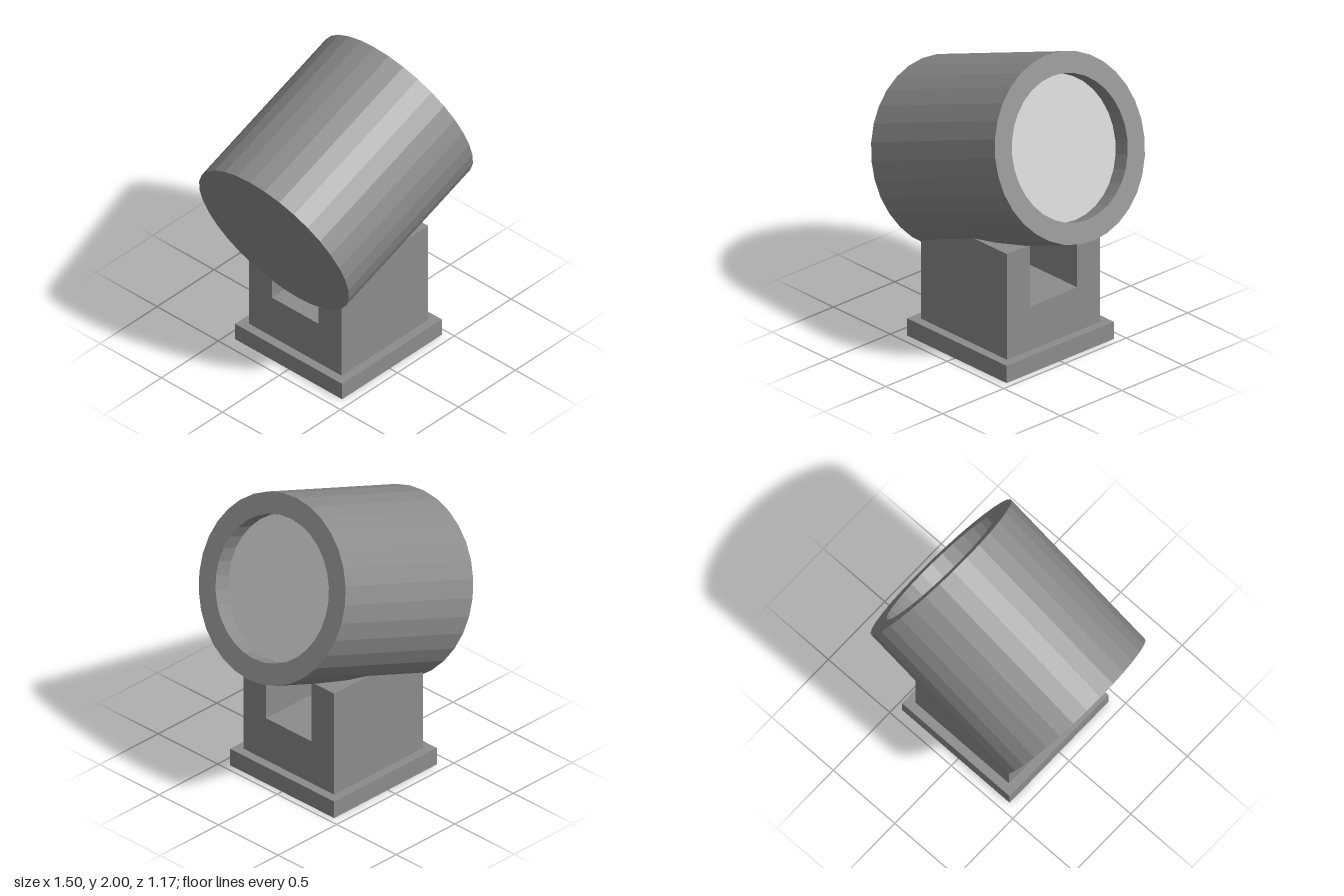
import * as THREE from 'three';

const SIDES = 32;

export function createModel() {
  const group = new THREE.Group();
  group.name = 'spotlight';
  const bodyMaterial = new THREE.MeshStandardMaterial({ color: 0x8c8c8c, flatShading: true });
  const lensMaterial = new THREE.MeshStandardMaterial({ color: 0xcccccc });

  const add = (parent, name, geometry, material = bodyMaterial) => {
    const mesh = new THREE.Mesh(geometry, material);
    mesh.name = name;
    parent.add(mesh);
    return mesh;
  };

  // Square foot plate
  add(group, 'basePlate', new THREE.BoxGeometry(0.876, 0.115, 0.876)).position.set(0.02, 0.0575, 0);

  // U-shaped yoke: profile across the width, extruded along x
  const profile = new THREE.Shape([
    [-0.38, 0.115], [0.38, 0.115], [0.38, 0.82], [0.192, 0.82],
    [0.192, 0.407], [-0.192, 0.407], [-0.192, 0.82], [-0.38, 0.82],
  ].map(([x, y]) => new THREE.Vector2(x, y)));
  const yoke = new THREE.ExtrudeGeometry(profile, { depth: 0.76, bevelEnabled: false });
  yoke.rotateY(Math.PI / 2).translate(-0.36, 0, 0);
  add(group, 'yoke', yoke);

  // Lamp head, tilted upward toward +x
  const head = new THREE.Group();
  head.name = 'lampHead';
  head.position.set(-0.002, 1.2475, 0);
  head.rotation.z = THREE.MathUtils.degToRad(20.84 - 90);
  group.add(head);

  const half = 0.583, radius = 0.583, bore = 0.45, lensY = half - 0.115;

  // Drum with closed back, flat rim and recessed front
  const outline = [[0, -half], [radius, -half], [radius, half], [bore, half], [bore, lensY]];
  add(head, 'housing', new THREE.LatheGeometry(outline.map(([x, y]) => new THREE.Vector2(x, y)), SIDES));

  // Flat lens at the bottom of the recess
  const lens = new THREE.CircleGeometry(bore, SIDES).rotateX(-Math.PI / 2);
  add(head, 'lens', lens, lensMaterial).position.y = lensY;

  return group;
}
